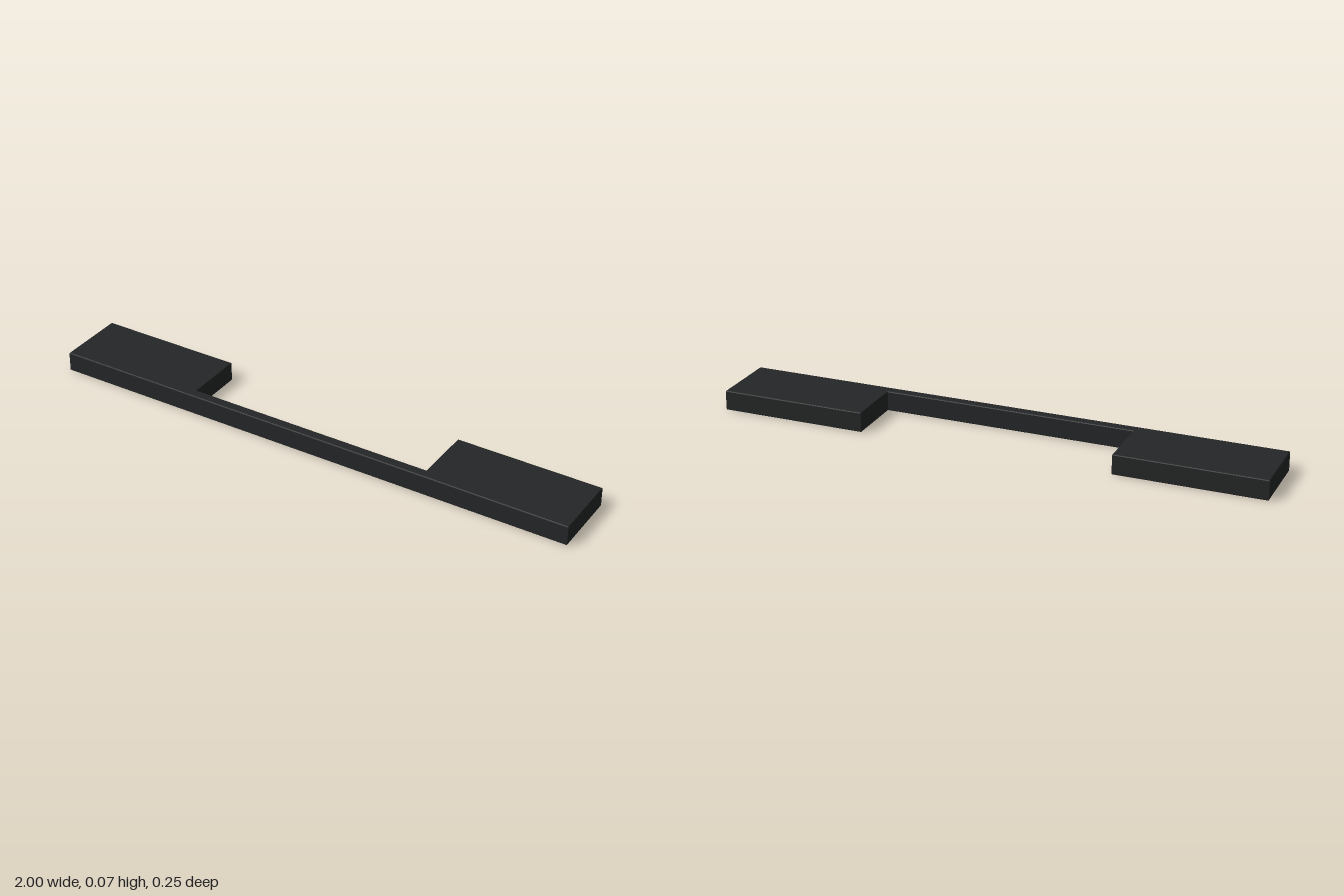
import * as THREE from 'three';

const HEIGHT = 0.073;
const BEVEL = 0.003;
const HALF_LENGTH = 1;
const HALF_DEPTH = 0.127;
const GAP = 0.463; // half width of the opening between the end blocks
const BAR_BACK = 0.09; // rear face of the connecting bar

export function createModel() {
  const model = new THREE.Group();
  const material = new THREE.MeshStandardMaterial({ color: 0x252627 });

  // Plan outline: two end blocks joined by a slim bar along the front
  const outline = new THREE.Shape([
    [-HALF_LENGTH, -HALF_DEPTH], [-GAP, -HALF_DEPTH],
    [-GAP, BAR_BACK], [GAP, BAR_BACK],
    [GAP, -HALF_DEPTH], [HALF_LENGTH, -HALF_DEPTH],
    [HALF_LENGTH, HALF_DEPTH], [-HALF_LENGTH, HALF_DEPTH],
  ].map(([x, z]) => new THREE.Vector2(x, z)));

  // Raised to full height with finely bevelled edges
  const geometry = new THREE.ExtrudeGeometry(outline, {
    depth: HEIGHT - 2 * BEVEL,
    bevelThickness: BEVEL,
    bevelSize: BEVEL,
    bevelOffset: -BEVEL,
    bevelSegments: 2,
  });
  geometry.rotateX(Math.PI / 2);
  geometry.translate(0, HEIGHT - BEVEL, 0);

  const bracket = new THREE.Mesh(geometry, material);
  bracket.name = 'bracket';
  model.add(bracket);
  return model;
}
